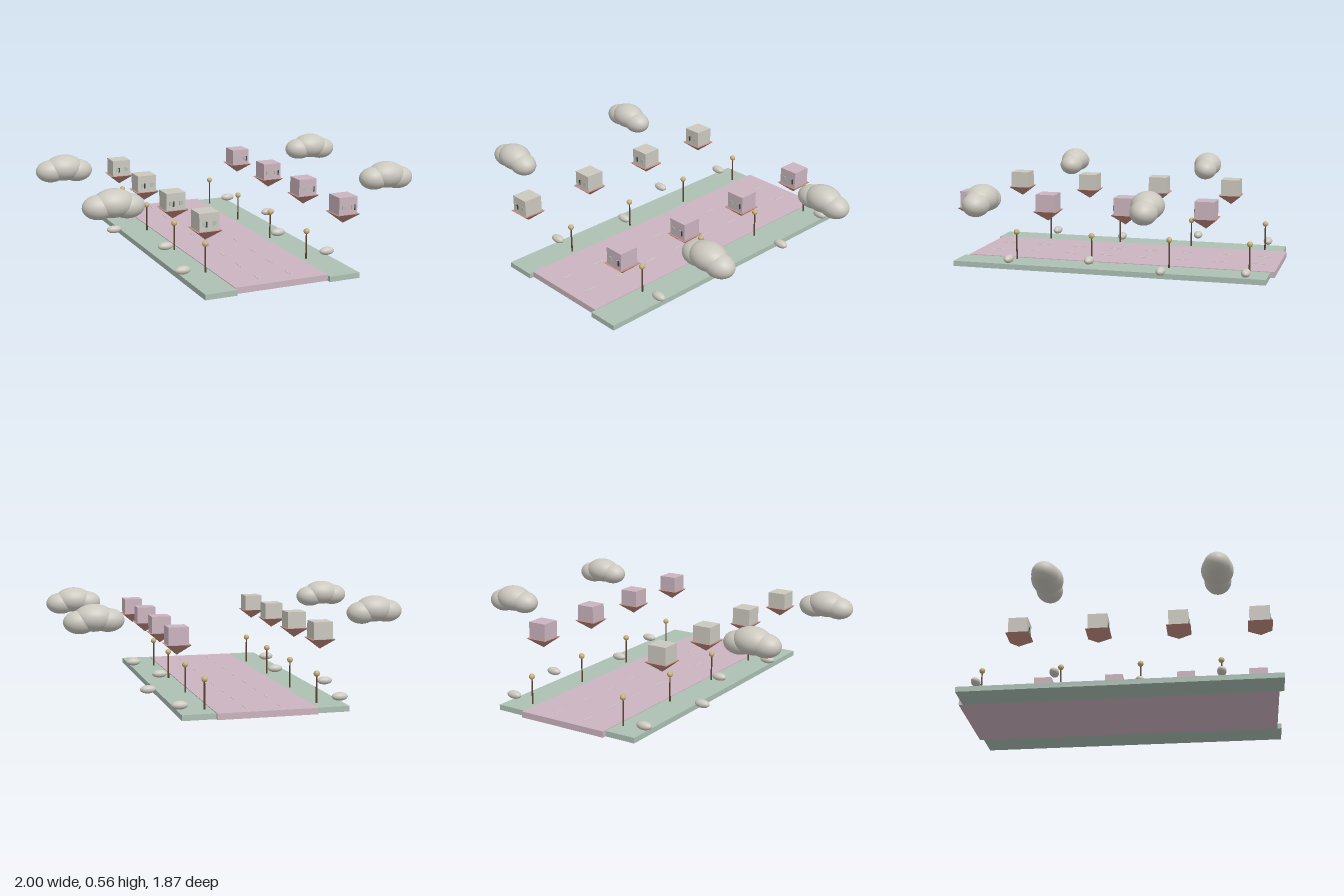
import * as THREE from 'three';

const mat = (name, color) => {
  const m = new THREE.MeshStandardMaterial({ color });
  m.name = name;
  return m;
};

export function createModel() {
  const root = new THREE.Group();
  root.name = 'street';
  const pink = mat('dustyPink', 0xcbb4bf);
  const green = mat('sageGreen', 0xadc0b4);
  const stone = mat('warmGrey', 0xcbc8bf);
  const terracotta = mat('terracotta', 0xc08a7d);
  const brass = mat('brass', 0xc8b07a);
  const brown = mat('darkBrown', 0x5c4433);
  const dark = mat('charcoal', 0x3c4240);

  const add = (parent, name, geometry, material, x, y, z) => {
    const mesh = new THREE.Mesh(geometry, material);
    mesh.name = name;
    mesh.position.set(x, y, z);
    parent.add(mesh);
    return mesh;
  };
  const box = (w, h, d) => new THREE.BoxGeometry(w, h, d);
  const ellipsoid = (rx, ry, rz) => new THREE.SphereGeometry(1, 32, 20).scale(rx, ry, rz);

  // Road with pavements set slightly forward
  add(root, 'road', box(0.554, 0.035, 1.84), pink, 0.003, 0.0175, -0.013);
  for (const s of [-1, 1]) {
    add(root, 'pavement', box(0.184, 0.031, 1.842), green, 0.003 + s * 0.369, 0.0155, 0.012);
  }

  // Broken lane lines
  const dash = box(0.007, 0.002, 0.075);
  for (const x of [-0.093, 0.1]) {
    for (let i = 0; i < 8; i++) add(root, 'laneDash', dash, stone, x, 0.036, -0.818 + i * 0.23);
  }

  // Floating houses over inverted pyramid roofs
  const walls = box(0.113, 0.098, 0.113);
  const roof = new THREE.ConeGeometry(0.069 * Math.SQRT2, 0.06, 4).rotateY(Math.PI / 4).rotateX(Math.PI);
  const pane = box(0.022, 0.022, 0.006);
  const door = box(0.007, 0.03, 0.008);
  for (const s of [-1, 1]) {
    for (let i = 0; i < 4; i++) {
      const house = new THREE.Group();
      house.name = 'house';
      house.position.set(0.003 + s * 0.412, 0, -0.565 + i * 0.461);
      add(house, 'walls', walls, s < 0 ? stone : pink, 0, 0.4, 0);
      add(house, 'roof', roof, terracotta, 0, 0.321, 0);
      for (const w of [-1, 1]) add(house, 'window', pane, green, w * 0.028, 0.392, 0.057);
      add(house, 'door', door, dark, s < 0 ? -0.017 : 0.039, 0.389, 0.058);
      root.add(house);
    }
  }

  // Lamps and bushes in pairs along the street
  const pole = new THREE.CylinderGeometry(0.004, 0.005, 0.16, 10);
  const globe = ellipsoid(0.017, 0.017, 0.017);
  const bush = ellipsoid(0.046, 0.0235, 0.0265);
  const bushX = [0.448, 0.528, 0.368, 0.448];
  for (const s of [-1, 1]) {
    bushX.forEach((bx, i) => {
      const z = -0.796 + i * 0.462;
      add(root, 'lampPole', pole, brown, 0.003 + s * 0.313, 0.111, z);
      add(root, 'lampGlobe', globe, brass, 0.003 + s * 0.313, 0.194, z);
      add(root, 'bush', bush, stone, 0.003 + s * bx, 0.061, z);
    });
  }

  // Clouds of three overlapping puffs
  const bigPuff = ellipsoid(0.114, 0.077, 0.0875);
  const smallPuff = ellipsoid(0.092, 0.066, 0.073);
  for (const x of [-0.83, 0.83]) {
    for (const z of [-0.333, 0.591]) {
      const cloud = new THREE.Group();
      cloud.name = 'cloud';
      cloud.position.set(x, 0, z);
      add(cloud, 'middlePuff', bigPuff, stone, 0, 0.478, 0);
      add(cloud, 'sidePuff', smallPuff, stone, -0.078, 0.463, 0);
      add(cloud, 'sidePuff', smallPuff, stone, 0.078, 0.456, 0);
      root.add(cloud);
    }
  }
  return root;
}
